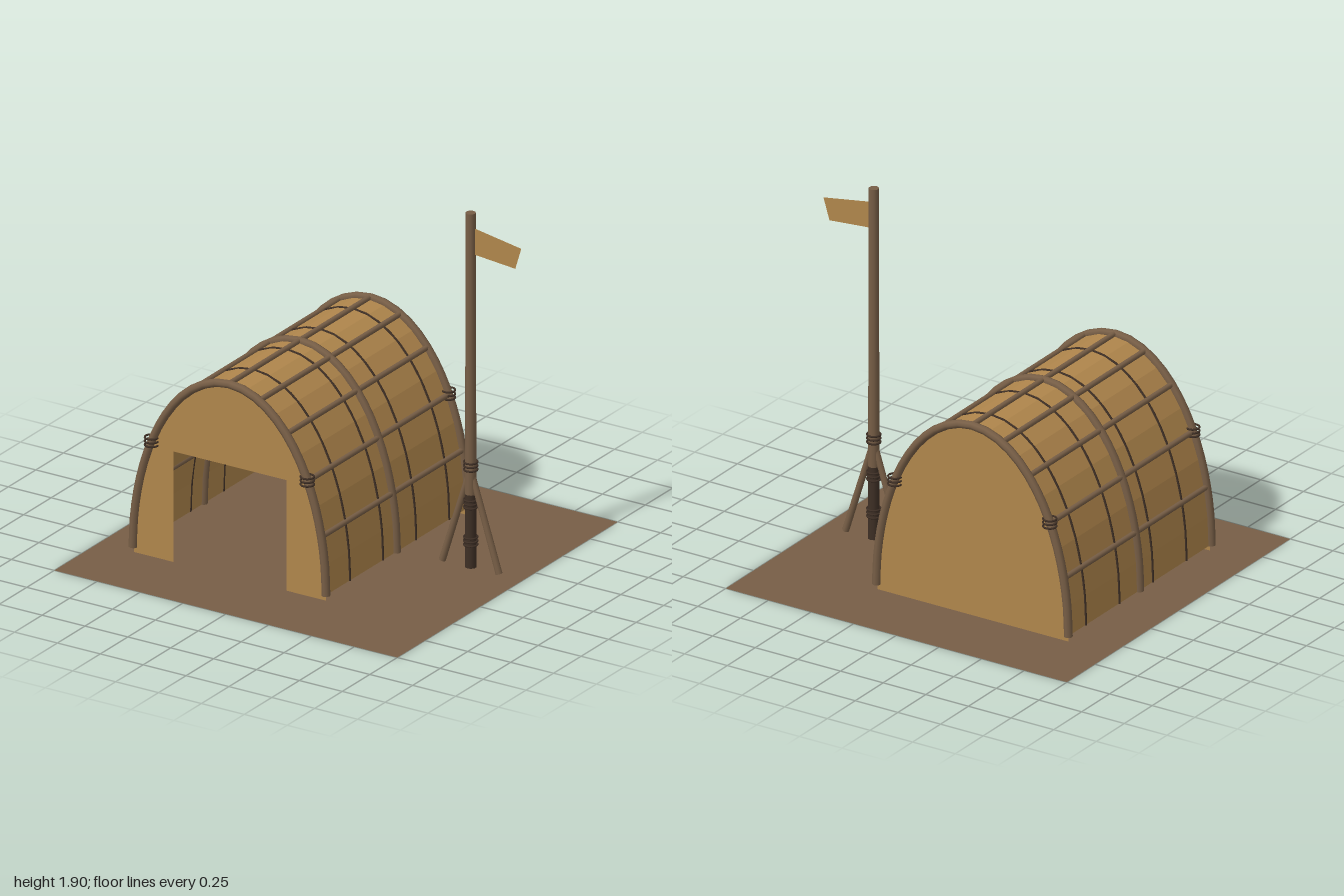
import * as THREE from 'three';

const hide = new THREE.MeshStandardMaterial({ color: 0xb0864c, side: THREE.DoubleSide });
hide.name = 'tan hide';
const wood = new THREE.MeshStandardMaterial({ color: 0x775e46 });
wood.name = 'brown wood';
const earth = new THREE.MeshStandardMaterial({ color: 0x775e46, side: THREE.DoubleSide });
earth.name = 'brown earth';
const dark = new THREE.MeshStandardMaterial({ color: 0x3e2f25, side: THREE.DoubleSide });
dark.name = 'dark brown';

// Arch of the hut: half ellipse, t measured from the ridge
const CX = -0.21, BASE = 0.05, HALF = 0.56, RISE = 0.995, LEN = 0.64;
const archPoint = (t, z = 0, grow = 0) => new THREE.Vector3(
  CX + (HALF + grow) * Math.sin(t), BASE + (RISE + grow) * Math.cos(t), z);

function archPoints(z, grow, n = 20) {
  const pts = [];
  for (let i = 0; i <= n; i++) pts.push(archPoint(-Math.PI / 2 + (Math.PI * i) / n, z, grow));
  return pts;
}

function add(parent, name, geometry, material) {
  const mesh = new THREE.Mesh(geometry, material);
  mesh.name = name;
  parent.add(mesh);
  return mesh;
}

// Round stick between two points
function stick(parent, name, a, b, r0, r1, material) {
  const dir = b.clone().sub(a);
  const mesh = add(parent, name, new THREE.CylinderGeometry(r1, r0, dir.length(), 10), material);
  mesh.position.copy(a).add(b).multiplyScalar(0.5);
  mesh.quaternion.setFromUnitVectors(new THREE.Vector3(0, 1, 0), dir.normalize());
  return mesh;
}

// Bent pole following the arch
function hoop(parent, name, z, grow, radius, material) {
  const curve = new THREE.CatmullRomCurve3(archPoints(z, grow));
  add(parent, name, new THREE.TubeGeometry(curve, 32, radius, 8), material);
  for (const t of [-Math.PI / 2, Math.PI / 2]) {
    const cap = add(parent, name + 'Foot', new THREE.CircleGeometry(radius, 8), material);
    cap.rotation.x = Math.PI / 2;
    cap.position.copy(archPoint(t, z, grow));
  }
}

// Three turns of rope around an upright
function lashing(parent, x, y, z, radius) {
  const group = new THREE.Group();
  group.name = 'lashing';
  for (let i = -1; i <= 1; i++) {
    const ring = add(group, 'ropeTurn', new THREE.TorusGeometry(radius, 0.005, 6, 18), dark);
    ring.rotation.x = Math.PI / 2;
    ring.position.set(x, y + i * 0.02, z);
  }
  parent.add(group);
}

// End wall, optionally with a door opening
function endWall(parent, name, z, door) {
  const s = new THREE.Shape();
  s.moveTo(CX - HALF, 0.02);
  for (const p of archPoints(0, 0, 32)) s.lineTo(p.x, p.y);
  s.lineTo(CX + HALF, 0.02);
  if (door) {
    s.lineTo(0.12, 0.02);
    s.lineTo(0.12, 0.61);
    s.lineTo(-0.54, 0.61);
    s.lineTo(-0.54, 0.02);
  }
  const g = new THREE.ShapeGeometry(s);
  if (z < 0) {
    // Turn the back wall to face outward
    g.translate(-CX, 0, 0).rotateY(Math.PI).translate(CX, 0, 0);
  }
  add(parent, name, g, hide).position.z = z;
}

function buildHut() {
  const hut = new THREE.Group();
  hut.name = 'hut';

  // Faceted cover
  let cover = new THREE.CylinderGeometry(1, 1, LEN * 2, 20, 1, true, -Math.PI / 2, Math.PI);
  cover.rotateX(-Math.PI / 2).scale(HALF, RISE, 1).translate(CX, BASE, 0);
  cover = cover.toNonIndexed();
  cover.computeVertexNormals();
  add(hut, 'cover', cover, hide);

  endWall(hut, 'frontWall', LEN - 0.005, true);
  endWall(hut, 'backWall', -LEN + 0.005, false);

  // Dark panel deep inside
  add(hut, 'darkInterior', new THREE.BoxGeometry(0.68, 0.6, 0.006), dark).position.set(CX, 0.32, -0.46);

  // Frame hoops
  for (const z of [-LEN, 0, LEN]) hoop(hut, 'frameHoop', z, 0.003, 0.022, wood);

  // Seams across the cover
  for (const z of [-0.48, -0.18, 0.12, 0.42]) hoop(hut, 'seam', z, 0.001, 0.006, dark);

  // Lengthwise poles
  for (let i = -4; i <= 4; i++) {
    const t = (i * Math.PI) / 10;
    stick(hut, 'lengthPole', archPoint(t, -0.63, 0.006), archPoint(t, 0.63, 0.006), 0.014, 0.014, wood);
  }

  // Rope on the end hoops
  for (const z of [-LEN, LEN])
    for (const side of [-1, 1]) lashing(hut, CX + side * 0.454, 0.64, z, 0.034);
  return hut;
}

function buildFlagPole() {
  const group = new THREE.Group();
  group.name = 'flagPole';
  const X = 0.705, Z = -0.125;
  const at = (x, y) => new THREE.Vector3(x, y, Z);

  // Pole with a darker foot
  stick(group, 'poleFoot', at(X, 0.01), at(X, 0.4), 0.03, 0.029, dark);
  stick(group, 'pole', at(X, 0.4), at(X, 1.9), 0.029, 0.026, wood);

  // Bracing legs
  for (const side of [-1, 1])
    stick(group, 'brace', at(X + side * 0.165, 0.01), at(X + side * 0.01, 0.5), 0.018, 0.016, wood);

  for (const y of [0.15, 0.35, 0.55]) lashing(group, X, y, Z, 0.034);

  // Pennant
  const s = new THREE.Shape([[0.73, 1.68], [0.965, 1.66], [1.0, 1.775], [0.73, 1.82]]
    .map(([x, y]) => new THREE.Vector2(x, y)));
  add(group, 'flag', new THREE.ShapeGeometry(s), hide).position.z = Z;
  return group;
}

export function createModel() {
  const model = new THREE.Group();
  model.name = 'hutWithFlag';
  const ground = add(model, 'ground', new THREE.PlaneGeometry(2, 2), earth);
  ground.rotation.x = -Math.PI / 2;
  model.add(buildHut(), buildFlagPole());
  return model;
}
